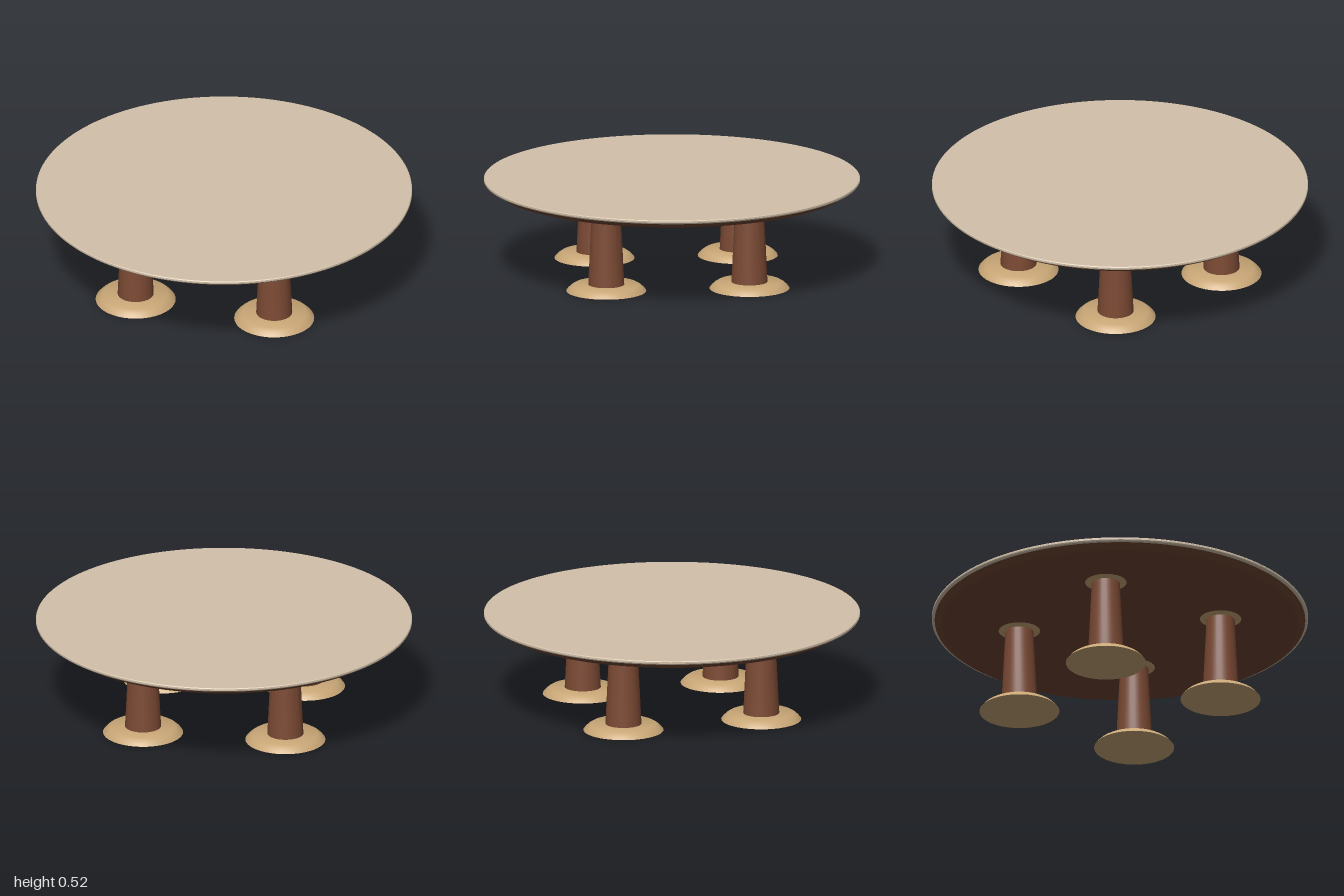
import * as THREE from 'three';
import { toCreasedNormals } from 'three/addons/utils/BufferGeometryUtils.js';

const flat = (name, color) => {
  const m = new THREE.MeshStandardMaterial({ color });
  m.name = name;
  return m;
};

// Turned part: profile of [radius, height] pairs, from bottom to top
function turned(name, profile, material, segments = 48) {
  const points = profile.map(([r, y]) => new THREE.Vector2(r, y));
  const geometry = toCreasedNormals(new THREE.LatheGeometry(points, segments), 0.55);
  const mesh = new THREE.Mesh(geometry, material);
  mesh.name = name;
  return mesh;
}

export function createModel() {
  const cream = flat('cream top', 0xd2c0a9);
  const brown = flat('dark brown wood', 0x6e4430);
  const legBrown = flat('leg brown wood', 0x7c4a34);
  const tan = flat('tan wood', 0xc8a676);

  const table = new THREE.Group();
  table.name = 'roundTable';

  // Thin cream top with a softly rounded rim
  table.add(turned('tableTop', [
    [0, 0.497], [0.985, 0.497], [0.996, 0.501], [1, 0.507],
    [1, 0.516], [0.996, 0.52], [0, 0.52],
  ], cream, 128));

  // Bevelled brown underside
  table.add(turned('underTop', [
    [0, 0.47], [0.945, 0.47], [0.985, 0.497], [0, 0.497],
  ], brown, 128));

  // Four pedestals, one on each axis
  for (let i = 0; i < 4; i++) {
    const pedestal = new THREE.Group();
    pedestal.name = 'pedestal' + (i + 1);
    const angle = (i * Math.PI) / 2;
    pedestal.position.set(0.54 * Math.cos(angle), 0, 0.54 * Math.sin(angle));

    pedestal.add(turned('foot', [
      [0, 0], [0.213, 0], [0.203, 0.012], [0.19, 0.024], [0.172, 0.035], [0, 0.035],
    ], tan));
    pedestal.add(turned('leg', [
      [0, 0.034], [0.096, 0.034], [0.075, 0.466], [0, 0.466],
    ], legBrown));
    pedestal.add(turned('collar', [
      [0, 0.462], [0.095, 0.462], [0.112, 0.471], [0, 0.471],
    ], tan));
    table.add(pedestal);
  }
  return table;
}
